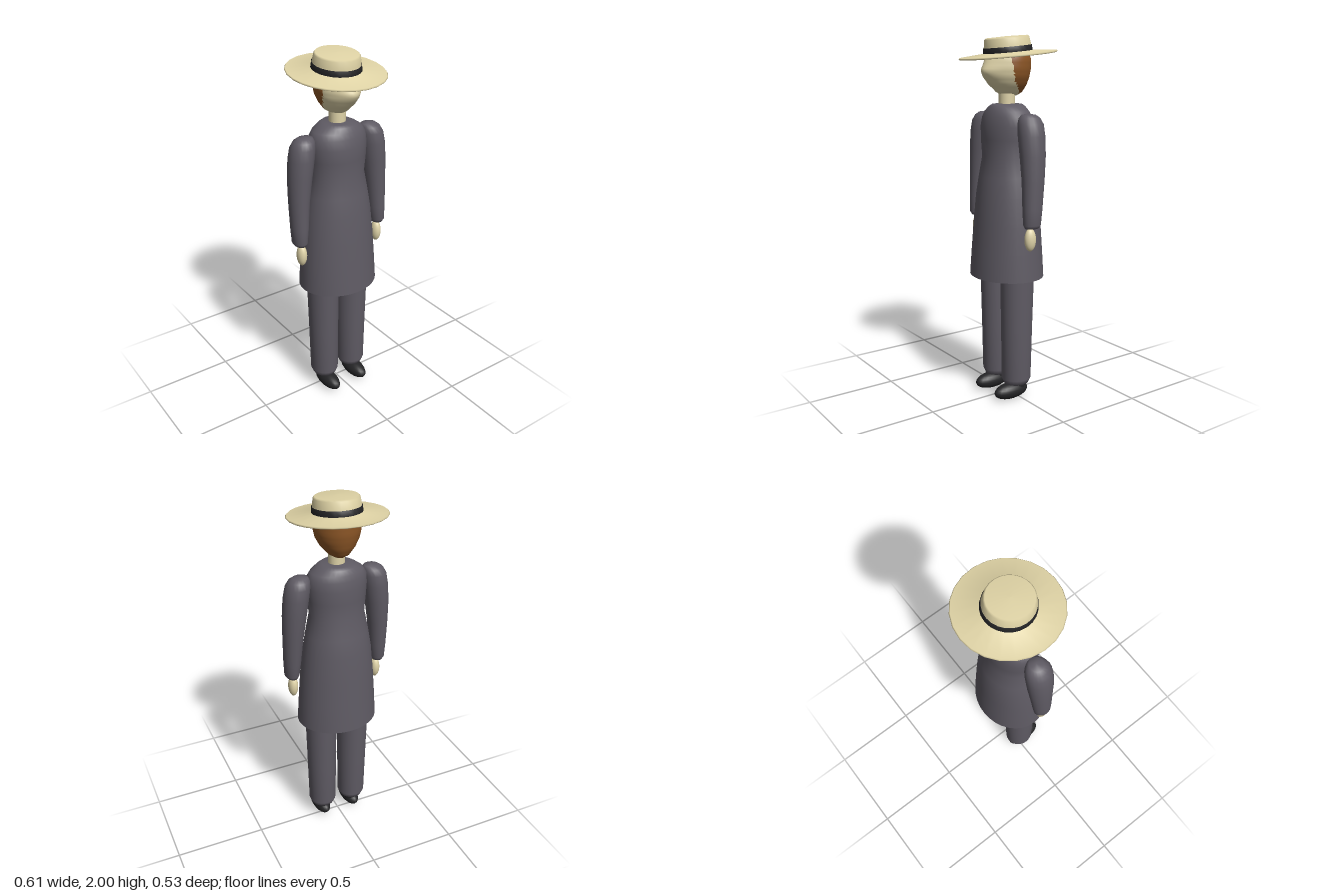
import * as THREE from 'three';
import { mergeVertices } from 'three/addons/utils/BufferGeometryUtils.js';

const material = (name, color, side = THREE.FrontSide) => {
  const m = new THREE.MeshStandardMaterial({ color, side });
  m.name = name;
  return m;
};

// Elliptical loft, rows from bottom to top: [y, centreX, centreZ, radiusX, radiusZ]
function loft(rows, sides = 24, reshape = null) {
  const g = new THREE.LatheGeometry(rows.map(r => new THREE.Vector2(1, r[0])), sides);
  const p = g.attributes.position;
  for (let i = 0; i < p.count; i++) {
    const [y, cx, cz, rx, rz] = rows[i % rows.length];
    const ux = p.getX(i), uz = p.getZ(i);
    p.setXYZ(i, cx + rx * ux, y, cz + rz * uz + (reshape ? reshape(ux, uz, y) : 0));
  }
  g.deleteAttribute('uv');
  g.deleteAttribute('normal');
  const merged = mergeVertices(g, 1e-5);
  merged.computeVertexNormals();
  return merged;
}

// Insert evenly spaced rows between the given ones
function subdivide(rows, n) {
  const out = [];
  for (let i = 0; i < rows.length - 1; i++)
    for (let k = 0; k < n; k++)
      out.push(rows[i].map((v, c) => v + (rows[i + 1][c] - v) * k / n));
  out.push(rows[rows.length - 1]);
  return out;
}

export function createModel() {
  const model = new THREE.Group();
  model.name = 'figure';
  const suit = material('charcoal cloth', 0x5f5b64);
  const coatCloth = material('charcoal coat cloth', 0x5f5b64, THREE.DoubleSide);
  const skin = material('skin', 0xe0d4a9);
  const straw = material('straw', 0xe0d4a6);
  const black = material('black', 0x242426);
  const hair = material('brown hair', 0x8c5626);

  const add = (name, geometry, mat, parent = model) => {
    const mesh = new THREE.Mesh(geometry, mat);
    mesh.name = name;
    parent.add(mesh);
    return mesh;
  };
  const ellipsoid = (name, mat, [x, y, z], [rx, ry, rz]) => {
    const mesh = add(name, new THREE.SphereGeometry(1, 20, 14), mat);
    mesh.position.set(x, y, z);
    mesh.scale.set(rx, ry, rz);
    return mesh;
  };

  // Long coat, open at the hem
  add('coat', loft([
    [0.70, 0, 0.012, 0.226, 0.193],
    [0.85, 0, 0.011, 0.217, 0.183],
    [1.00, 0, 0.010, 0.206, 0.172],
    [1.15, 0, 0.008, 0.190, 0.161],
    [1.25, 0, 0.008, 0.173, 0.146],
    [1.36, 0, 0.010, 0.151, 0.125],
    [1.45, 0, 0.012, 0.160, 0.128],
    [1.52, 0, 0.012, 0.165, 0.126],
    [1.57, 0, 0.010, 0.161, 0.117],
    [1.60, 0, 0.009, 0.142, 0.107],
    [1.625, 0, 0.008, 0.105, 0.095],
    [1.638, 0, 0.008, 0.078, 0.080],
    [1.64, 0, 0.008, 0, 0],
  ], 32), coatCloth);

  for (const s of [1, -1]) {
    const side = s > 0 ? 'left' : 'right';

    // Sleeve and hand
    add(side + 'Sleeve', loft([
      [1.00, s * 0.255, 0.030, 0, 0],
      [1.002, s * 0.255, 0.030, 0.030, 0.040],
      [1.02, s * 0.257, 0.030, 0.040, 0.050],
      [1.10, s * 0.254, 0.026, 0.047, 0.055],
      [1.25, s * 0.248, 0.018, 0.055, 0.062],
      [1.38, s * 0.238, 0.014, 0.064, 0.070],
      [1.48, s * 0.226, 0.013, 0.068, 0.073],
      [1.54, s * 0.216, 0.012, 0.066, 0.069],
      [1.572, s * 0.207, 0.012, 0.056, 0.056],
      [1.588, s * 0.200, 0.012, 0.040, 0.036],
      [1.594, s * 0.196, 0.012, 0, 0],
    ], 20), suit);
    ellipsoid(side + 'Hand', skin, [s * 0.25, 0.94, 0.036], [0.027, 0.062, 0.033]);

    // Trouser leg, ankle and shoe
    add(side + 'Trouser', loft([
      [0.088, s * 0.094, 0.012, 0, 0],
      [0.09, s * 0.094, 0.012, 0.066, 0.070],
      [0.12, s * 0.094, 0.012, 0.079, 0.083],
      [0.40, s * 0.096, 0.011, 0.083, 0.088],
      [0.70, s * 0.098, 0.010, 0.088, 0.095],
      [0.95, s * 0.098, 0.010, 0.090, 0.098],
      [0.97, s * 0.098, 0.010, 0, 0],
    ], 24), suit);
    const ankle = add(side + 'Ankle', new THREE.CylinderGeometry(0.04, 0.04, 0.07, 16), black);
    ankle.position.set(s * 0.094, 0.07, 0);
    ellipsoid(side + 'Shoe', black, [s * 0.095, 0.046, 0.048], [0.048, 0.046, 0.108]);
  }

  // Neck
  const neck = add('neck', new THREE.CylinderGeometry(0.044, 0.044, 0.12, 20), skin);
  neck.position.set(0, 1.67, 0.01);

  // Head with a pointed face ridge, split into skin and hair faces
  const nose = (ux, uz, y) =>
    Math.pow(Math.max(0, uz), 5) * 0.038 * Math.max(0, 1 - Math.abs(y - 1.805) / 0.09);
  const headGeo = loft(subdivide([
    [1.676, 0, -0.010, 0, 0],
    [1.682, 0, -0.008, 0.030, 0.045],
    [1.70, 0, -0.005, 0.058, 0.076],
    [1.74, 0, 0.002, 0.091, 0.105],
    [1.78, 0, 0.005, 0.112, 0.119],
    [1.82, 0, 0.004, 0.121, 0.125],
    [1.87, 0, 0.000, 0.121, 0.122],
    [1.92, 0, 0.000, 0.105, 0.105],
    [1.95, 0, 0.000, 0.070, 0.070],
    [1.96, 0, 0.000, 0, 0],
  ], 3), 56, nose);
  const p = headGeo.attributes.position, index = headGeo.index.array;
  const faces = [[], []];
  for (let i = 0; i < index.length; i += 3) {
    const tri = [index[i], index[i + 1], index[i + 2]];
    const y = tri.reduce((t, v) => t + p.getY(v), 0) / 3;
    const z = tri.reduce((t, v) => t + p.getZ(v), 0) / 3;
    const hairline = y > 1.76 ? 0.03 + (y - 1.76) * 0.25 : 0.03 - (1.76 - y) * 1.05;
    faces[z < hairline ? 1 : 0].push(...tri);
  }
  headGeo.setIndex([...faces[0], ...faces[1]]);
  headGeo.addGroup(0, faces[0].length, 0);
  headGeo.addGroup(faces[0].length, faces[1].length, 1);
  add('head', headGeo, [skin, hair]);

  // Tilted flat-crowned hat with a dark band
  const hat = new THREE.Group();
  hat.name = 'hat';
  hat.position.set(0, 1.893, 0);
  hat.rotation.x = 0.105;
  hat.scale.x = 0.96;
  model.add(hat);
  const lathe = pts => new THREE.LatheGeometry(pts.map(q => new THREE.Vector2(...q)), 24);
  add('brimAndCrown', lathe([
    [0, 0.004], [0.12, 0.002], [0.262, -0.005], [0.267, 0], [0.262, 0.005],
    [0.132, 0.016], [0.127, 0.05], [0.121, 0.086], [0.113, 0.094], [0, 0.097],
  ]), straw, hat);
  add('hatBand', lathe([
    [0.128, 0.014], [0.134, 0.014], [0.131, 0.044], [0.124, 0.045],
  ]), black, hat);

  return model;
}
